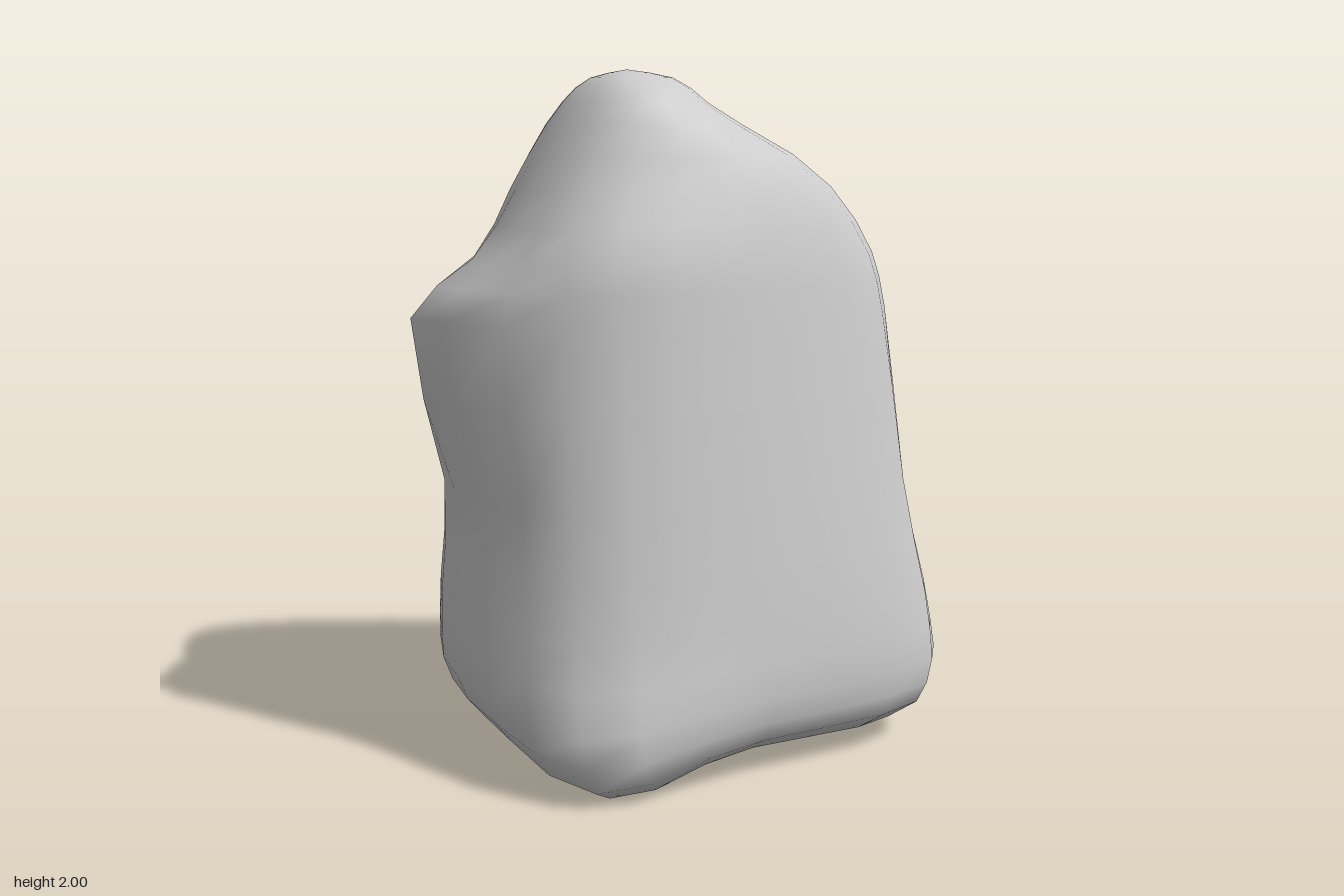
import * as THREE from 'three';
import { mergeVertices } from 'three/addons/utils/BufferGeometryUtils.js';

// Cross-sections: height, then 8 x,z pairs running front, front +x, +x side,
// back +x, back, back -x, -x side, front -x
const SECTIONS = [
  [0.08, 0.03, 0.54, 0.55, 0.54, 0.6, 0.2, 0.39, -0.36, -0.1, -0.51, -0.42, -0.42, -0.54, 0, -0.45, 0.5],
  [0.2, 0.03, 0.605, 0.63, 0.57, 0.72, 0.2, 0.48, -0.46, -0.15, -0.62, -0.5, -0.48, -0.66, 0, -0.53, 0.53],
  [0.4, 0.02, 0.59, 0.63, 0.55, 0.71, 0.15, 0.48, -0.44, -0.15, -0.58, -0.51, -0.46, -0.68, 0, -0.51, 0.46],
  [0.75, 0, 0.53, 0.58, 0.49, 0.66, 0.1, 0.47, -0.34, -0.13, -0.48, -0.48, -0.43, -0.64, -0.06, -0.48, 0.39],
  [1.3, 0, 0.44, 0.55, 0.39, 0.63, 0.1, 0.46, -0.15, -0.06, -0.35, -0.4, -0.41, -0.74, -0.13, -0.46, 0.3],
  [1.48, 0, 0.41, 0.51, 0.36, 0.59, 0.1, 0.45, -0.1, 0, -0.26, -0.33, -0.3, -0.54, -0.1, -0.44, 0.28],
  [1.7, 0, 0.34, 0.34, 0.32, 0.43, 0.12, 0.3, -0.12, -0.05, -0.26, -0.3, -0.26, -0.42, -0.04, -0.34, 0.23],
  [1.89, -0.1, 0.25, 0.06, 0.21, 0.14, 0.06, 0.06, -0.11, -0.11, -0.18, -0.24, -0.16, -0.31, 0, -0.26, 0.18],
];
const AROUND = 24;
const UP = 22;

// Closed smooth loop through one cross-section
function ring([y, ...xz]) {
  const pts = [];
  for (let i = 0; i < xz.length; i += 2) pts.push(new THREE.Vector3(xz[i], y, xz[i + 1]));
  const curve = new THREE.CatmullRomCurve3(pts, true, 'catmullrom', 0.5);
  return Array.from({ length: AROUND }, (_, i) => curve.getPoint(i / AROUND));
}

function rockGeometry() {
  const rings = SECTIONS.map(ring);
  const bottom = new THREE.Vector3(0, 0.09, 0);
  const top = new THREE.Vector3(-0.13, 2, 0.05);

  // Rounded crown just under the peak
  rings.push(rings.at(-1).map((p) => {
    const q = p.clone().lerp(top, 0.44);
    q.y = 1.973;
    return q;
  }));

  const positions = [];
  const index = [];
  for (let i = 0; i < AROUND; i++) {
    const column = new THREE.CatmullRomCurve3([bottom, ...rings.map((r) => r[i]), top]);
    for (let j = 0; j <= UP; j++) {
      const p = column.getPoint(j / UP);
      // One front corner of the base dips to the ground
      const dip = Math.exp(-((p.x + 0.46) ** 2 + (p.z - 0.48) ** 2) / 0.06);
      const y = p.y - 0.08 * dip * Math.max(0, 1 - Math.max(0, p.y - 0.08) / 0.4);
      positions.push(p.x, THREE.MathUtils.clamp(y, 0, 2), p.z);
    }
  }
  for (let i = 0; i < AROUND; i++) {
    for (let j = 0; j < UP; j++) {
      const a = i * (UP + 1) + j;
      const b = ((i + 1) % AROUND) * (UP + 1) + j;
      // One triangle at each pole, two everywhere else
      if (j > 0) index.push(a, b, b + 1);
      if (j < UP - 1) index.push(a, b + 1, a + 1);
    }
  }
  // The last row closes onto the peak
  for (let i = 0; i < AROUND; i++) {
    const a = i * (UP + 1) + UP - 1;
    const b = ((i + 1) % AROUND) * (UP + 1) + UP - 1;
    index.push(a, b, a + 1);
  }
  const raw = new THREE.BufferGeometry();
  raw.setAttribute('position', new THREE.Float32BufferAttribute(positions, 3));
  raw.setIndex(index.slice(0, -3 * AROUND));
  const geometry = mergeVertices(raw, 1e-4); // joins the poles for smooth shading
  geometry.computeVertexNormals();
  return geometry;
}

export function createModel() {
  const group = new THREE.Group();
  group.name = 'boulder';
  const rock = new THREE.Mesh(rockGeometry(), new THREE.MeshStandardMaterial({ color: 0xcccccc }));
  rock.name = 'rock';
  group.add(rock);
  return group;
}
